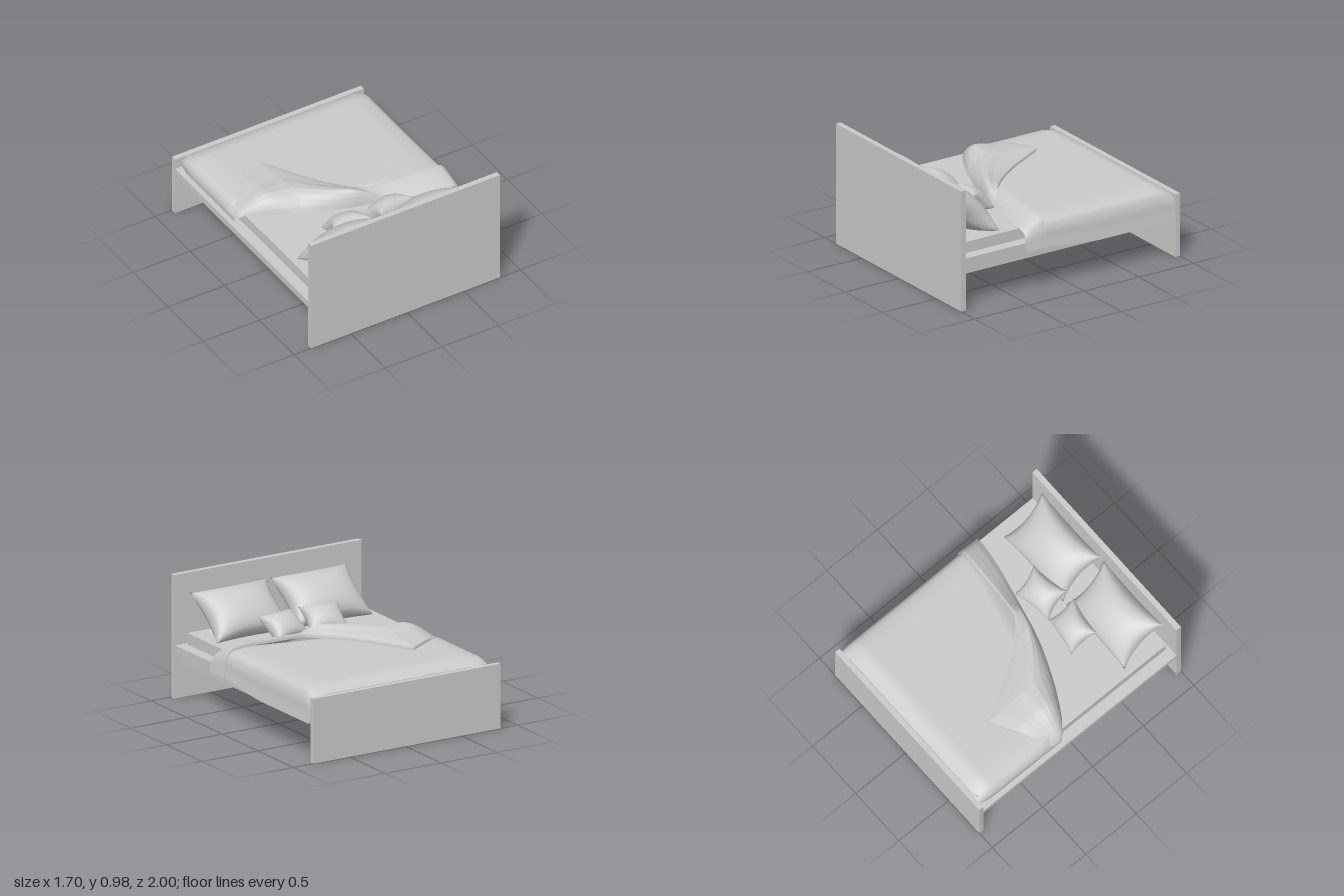
import * as THREE from 'three';
import { mergeVertices } from 'three/addons/utils/BufferGeometryUtils.js';
import { ParametricGeometry } from 'three/addons/geometries/ParametricGeometry.js';

const { clamp, lerp, smoothstep } = THREE.MathUtils;
const grey = new THREE.MeshStandardMaterial({ color: 0xcccccc });
const cloth = new THREE.MeshStandardMaterial({ color: 0xcccccc, side: THREE.DoubleSide });

// Piecewise-linear lookup in a short list of [input, output] pairs
function lookup(table, a) {
  let i = 1;
  while (i < table.length - 1 && a > table[i][0]) i++;
  const [a0, b0] = table[i - 1], [a1, b1] = table[i];
  return lerp(b0, b1, clamp((a - a0) / (a1 - a0), 0, 1));
}

function box(name, x0, x1, y0, y1, z0, z1) {
  const mesh = new THREE.Mesh(new THREE.BoxGeometry(x1 - x0, y1 - y0, z1 - z0), grey);
  mesh.position.set((x0 + x1) / 2, (y0 + y1) / 2, (z0 + z1) / 2);
  mesh.name = name;
  return mesh;
}

// Cushion with pointed corners, pinched sides and a full belly
function pillow(name, halfW, halfH, depth, [x, y, z], tilt, yaw) {
  let geo = new THREE.BoxGeometry(2, 2, 2, 28, 28, 1);
  const p = geo.attributes.position;
  for (let i = 0; i < p.count; i++) {
    const s = p.getX(i), t = p.getY(i), side = Math.sign(p.getZ(i));
    const belly = Math.pow(Math.max(0, (1 - s * s) * (1 - t * t)), 0.5);
    p.setXYZ(i,
      halfW * s * (1 - 0.13 * (1 - t * t) * s * s),
      halfH * t * (1 - 0.12 * (1 - s * s) * t * t),
      side * depth * belly);
  }
  geo.deleteAttribute('normal');
  geo.deleteAttribute('uv');
  geo = mergeVertices(geo, 1e-5);
  geo.computeVertexNormals();
  const mesh = new THREE.Mesh(geo, grey);
  mesh.position.set(x, y, z);
  mesh.rotation.set(tilt, yaw, 0, 'YXZ');
  mesh.name = name;
  return mesh;
}

// Duvet cross-section from the right hem, over the mattress, to the left hem
const section = new THREE.CatmullRomCurve3([
  [-0.81, 0.42], [-0.81, 0.475], [-0.78, 0.525], [-0.7, 0.555], [-0.4, 0.565], [0, 0.565],
  [0.4, 0.565], [0.7, 0.56], [0.78, 0.535], [0.812, 0.47], [0.822, 0.38], [0.832, 0.3],
].map(([x, y]) => new THREE.Vector3(x, y, 0)), false, 'centripetal');

// Outlines in plan: front edge of the duvet and rear edge of the turned-back flap
const frontEdge = [[-0.82, -0.17], [-0.79, -0.12], [-0.7, -0.05], [-0.6, 0.01], [-0.45, 0.09], [-0.3, 0.155],
  [-0.15, 0.215], [0, 0.26], [0.2, 0.305], [0.5, 0.375], [0.7, 0.405], [0.83, 0.415]];
const flapEdge = [[-0.82, -0.21], [-0.79, -0.26], [-0.75, -0.285], [-0.38, -0.515], [-0.3, -0.37], [-0.2, -0.19],
  [-0.1, -0.04], [0, 0.08], [0.08, 0.155], [0.15, 0.205], [0.25, 0.21], [0.83, 0.23]];

// Height profiles from front edge to rear edge: puffy fold and plain sloping band
const foldRise = [[0, 0], [0.04, 0.05], [0.1, 0.09], [0.18, 0.12], [0.28, 0.135], [0.42, 0.13],
  [0.6, 0.112], [0.8, 0.1], [1, 0.085]];
const bandRise = [[0, 0], [0.25, 0.035], [0.6, 0.068], [0.85, 0.088], [1, 0.09]];

function sheetPoint(u, z) {
  const p = section.getPointAt(u);
  const drop = 0.565 - p.y;
  const onTop = clamp(1 - drop * 6, 0, 1);
  const hem = p.x > 0 ? 1 - 0.22 * smoothstep(z, -0.3, 0.32) : 1;
  return { x: p.x, drop: drop * hem, onTop };
}

function duvet(u, v, target) {
  const front = lookup(frontEdge, section.getPointAt(u).x);
  const z = lerp(-0.953, front - 0.005, v);
  const { x, drop, onTop } = sheetPoint(u, z);
  const foot = 0.055 * Math.pow(clamp((-0.8 - z) / 0.153, 0, 1), 2);
  const tuck = 0.055 * smoothstep(z, front - 0.2, front);
  const taper = x < 0 ? 0.03 * Math.pow(clamp((-0.8 - z) / 0.153, 0, 1), 2) * (1 - onTop) : 0;
  target.set(x + taper, 0.567 - drop - (foot + tuck) * onTop, z);
}

function flap(u, v, target) {
  const px = section.getPointAt(u).x;
  const t = Math.min(1, v / 0.95);           // the last row tucks down to close the lip
  const z = lerp(lookup(frontEdge, px), lookup(flapEdge, px), t);
  const { x, drop, onTop } = sheetPoint(u, z);
  const puff = smoothstep(px, -0.9, -0.55);
  const rise = lerp(lookup(foldRise, t) * puff, lookup(bandRise, t), smoothstep(px, -0.02, 0.25));
  const side = 1 - onTop;
  let y = lerp(0.515 + rise, 0.567, side) - drop;
  if (px < 0) y += 0.02 * side;
  if (v > 0.97) y -= 0.035 * onTop;
  const out = (v > 0.97 ? -0.004 : 0.016) * side * Math.sign(px);
  target.set(x + (px < 0 ? out * 0.4 : out), y, z);
}

export function createModel() {
  const bed = new THREE.Group();
  bed.name = 'bed';

  // Frame
  bed.add(
    box('headboard', -0.85, 0.82, 0, 0.975, 0.957, 1),
    box('footboard', -0.85, 0.82, 0, 0.51, -1, -0.957),
    box('platform', -0.85, 0.815, 0.375, 0.42, -0.957, 0.957),
  );
  for (const [name, x] of [['rightRail', -0.76], ['leftRail', 0.73]])
    bed.add(box(name, x - 0.025, x + 0.025, 0.268, 0.375, -0.957, 0.957));

  // Mattress
  bed.add(box('mattress', -0.76, 0.725, 0.42, 0.51, -0.945, 0.925));

  // Duvet with its turned-back flap
  const bedding = new THREE.Group();
  bedding.name = 'bedding';
  for (const [name, rule, rows] of [['duvet', duvet, 60], ['duvetFlap', flap, 40]]) {
    const mesh = new THREE.Mesh(new ParametricGeometry(rule, 110, rows), cloth);
    mesh.name = name;
    bedding.add(mesh);
  }
  bed.add(bedding);

  // Pillows
  bed.add(
    pillow('largePillowRight', 0.345, 0.245, 0.14, [-0.365, 0.665, 0.755], 0.9, 0),
    pillow('largePillowLeft', 0.345, 0.245, 0.14, [0.35, 0.665, 0.755], 0.9, 0),
    pillow('smallPillowRight', 0.165, 0.135, 0.085, [-0.21, 0.592, 0.475], 0.98, -0.15),
    pillow('smallPillowLeft', 0.165, 0.135, 0.085, [0.15, 0.592, 0.47], 0.98, 0.18),
  );
  return bed;
}
